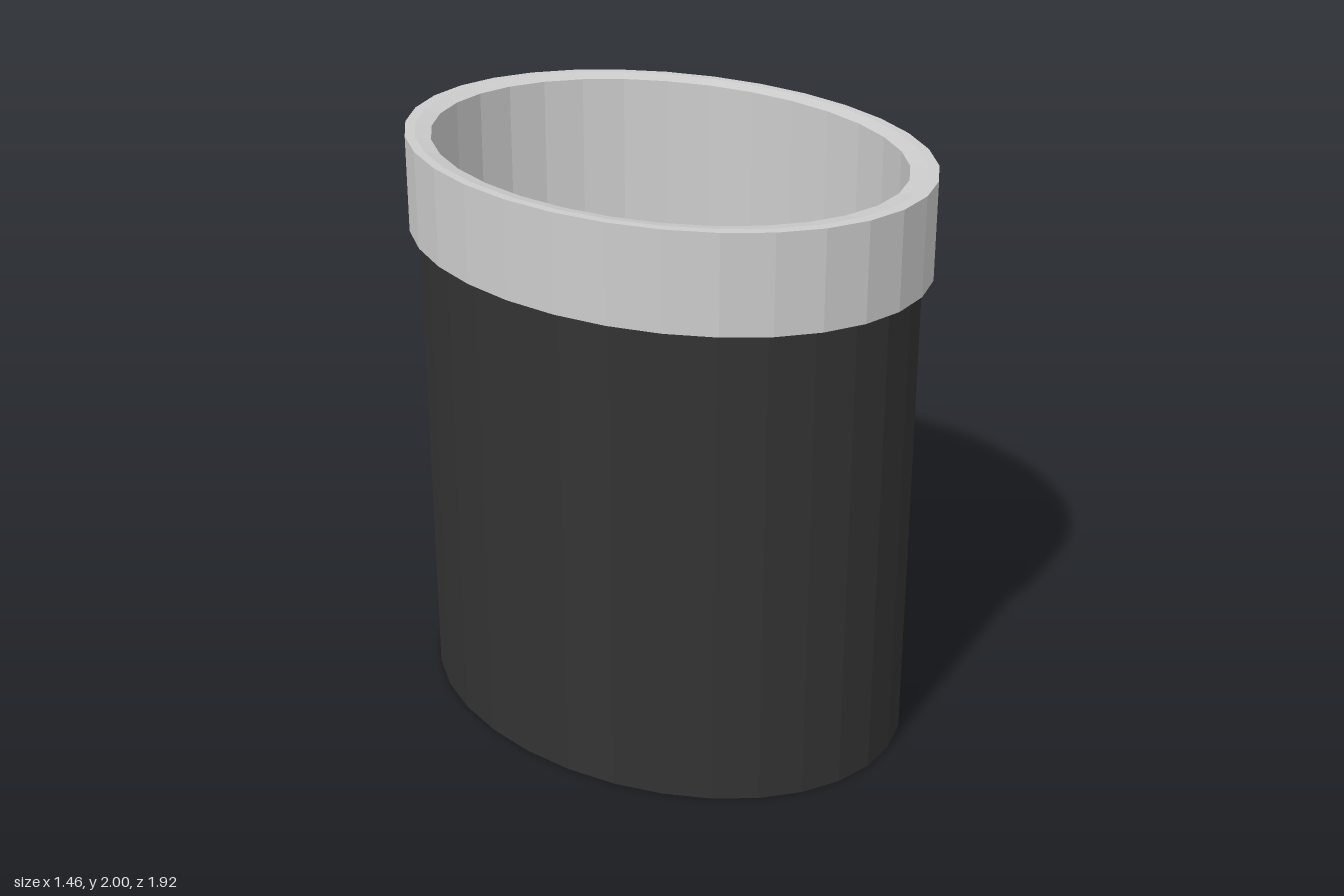
import * as THREE from 'three';

const SIDES = 32;
const DEPTH_RATIO = 1.312; // oval plan: z radius over x radius

// Revolve a [radius, y] profile and stretch it into an oval
function ovalPart(name, profile, color) {
  const points = profile.map(([r, y]) => new THREE.Vector2(r, y));
  const indexed = new THREE.LatheGeometry(points, SIDES).scale(1, 1, DEPTH_RATIO);
  const geometry = indexed.toNonIndexed();
  geometry.computeVertexNormals();
  const material = new THREE.MeshStandardMaterial({ color, flatShading: true });
  const mesh = new THREE.Mesh(geometry, material);
  mesh.name = name;
  return mesh;
}

export function createModel() {
  const group = new THREE.Group();
  group.name = 'ovalBin';

  // Dark outer shell with closed bottom
  group.add(ovalPart('body', [[0, 0], [0.703, 0], [0.703, 1.68]], 0x333333));

  // Dark floor inside
  group.add(ovalPart('innerFloor', [[0.657, 0.03], [0, 0.03]], 0x333333));

  // Grey collar, its slightly dished rim, and the inner wall down to the floor
  group.add(ovalPart('collarAndLiner', [
    [0.70, 1.67], [0.732, 1.67], [0.732, 2], [0.703, 2], [0.657, 1.99], [0.657, 0.03],
  ], 0xcccccc));

  return group;
}
